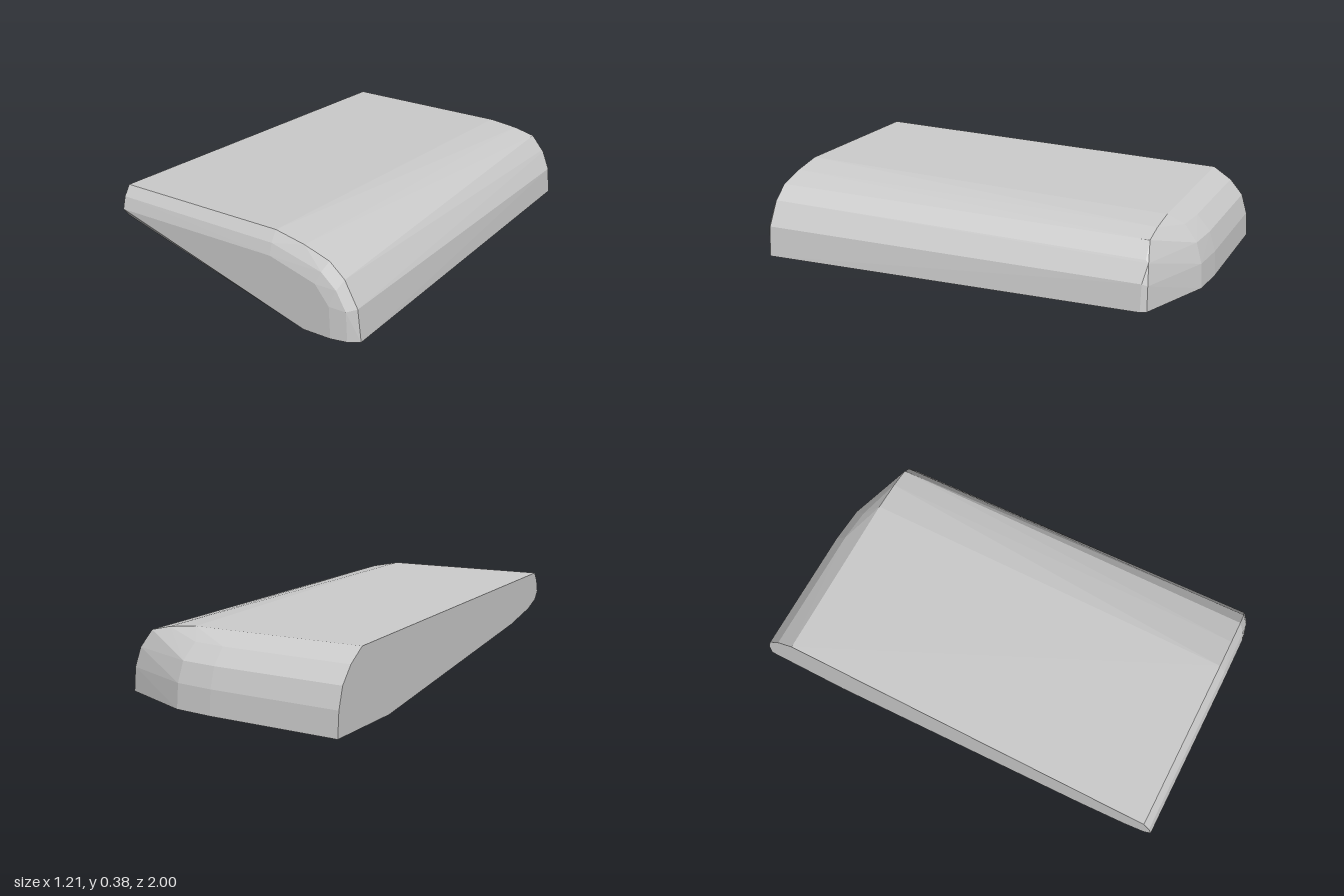
import * as THREE from 'three';
import { ConvexGeometry } from 'three/addons/geometries/ConvexGeometry.js';

const CUT = -0.605; // flat side plane

export function createModel() {
  const group = new THREE.Group();
  group.name = 'halfShell';
  const points = [];
  const add = (x, y, z) => points.push(new THREE.Vector3(x, y, z));

  // Rounded shoulder sections across the body: z, then [x, y] pairs
  const sections = [
    [1.0, [[CUT, 0.28], [0.2, 0.28], [0.42, 0.22], [0.485, 0.14], [0.49, 0]]],
    [0.985, [[CUT, 0.335], [0.2, 0.33], [0.44, 0.27], [0.51, 0.21], [0.555, 0.13], [0.56, 0]]],
    [0.955, [[CUT, 0.38], [0.2, 0.376], [0.34, 0.348], [0.46, 0.31], [0.53, 0.25], [0.59, 0.14], [0.605, 0]]],
    [-0.82, [[CUT, 0.325], [0.2, 0.32], [0.34, 0.304], [0.44, 0.28], [0.49, 0.21], [0.535, 0.12], [0.545, 0]]],
  ];
  for (const [z, profile] of sections) for (const [x, y] of profile) add(x, y, z);

  // Rounded back end: the swept outline moves inward with height
  const outline = [[CUT, -1], [0, -0.996], [0.18, -0.982], [0.53, -0.845]];
  const layers = [[0, 0], [0.11, 0.008], [0.2, 0.035], [0.27, 0.095]];
  for (const [y, inset] of layers) {
    outline.forEach(([x, z], i) => {
      if (i < 3) add(x - (i === 2 ? inset * 0.3 : 0), y, z + inset);
      else if (y < 0.25) add(x - inset, y, z + inset * 0.3);
    });
  }

  // Underside: flat floor, then a ramp rising to the front on the cut side
  for (const [y, z] of [[0, -0.6], [0.16, 0.66], [0.205, 0.88], [0.24, 0.97]]) add(CUT, y, z);
  add(0.3, 0, 0.97);
  add(0.36, 0, 1);

  const body = new THREE.Mesh(
    new ConvexGeometry(points),
    new THREE.MeshStandardMaterial({ color: 0xcccccc, flatShading: true })
  );
  body.name = 'body';
  group.add(body);
  return group;
}
